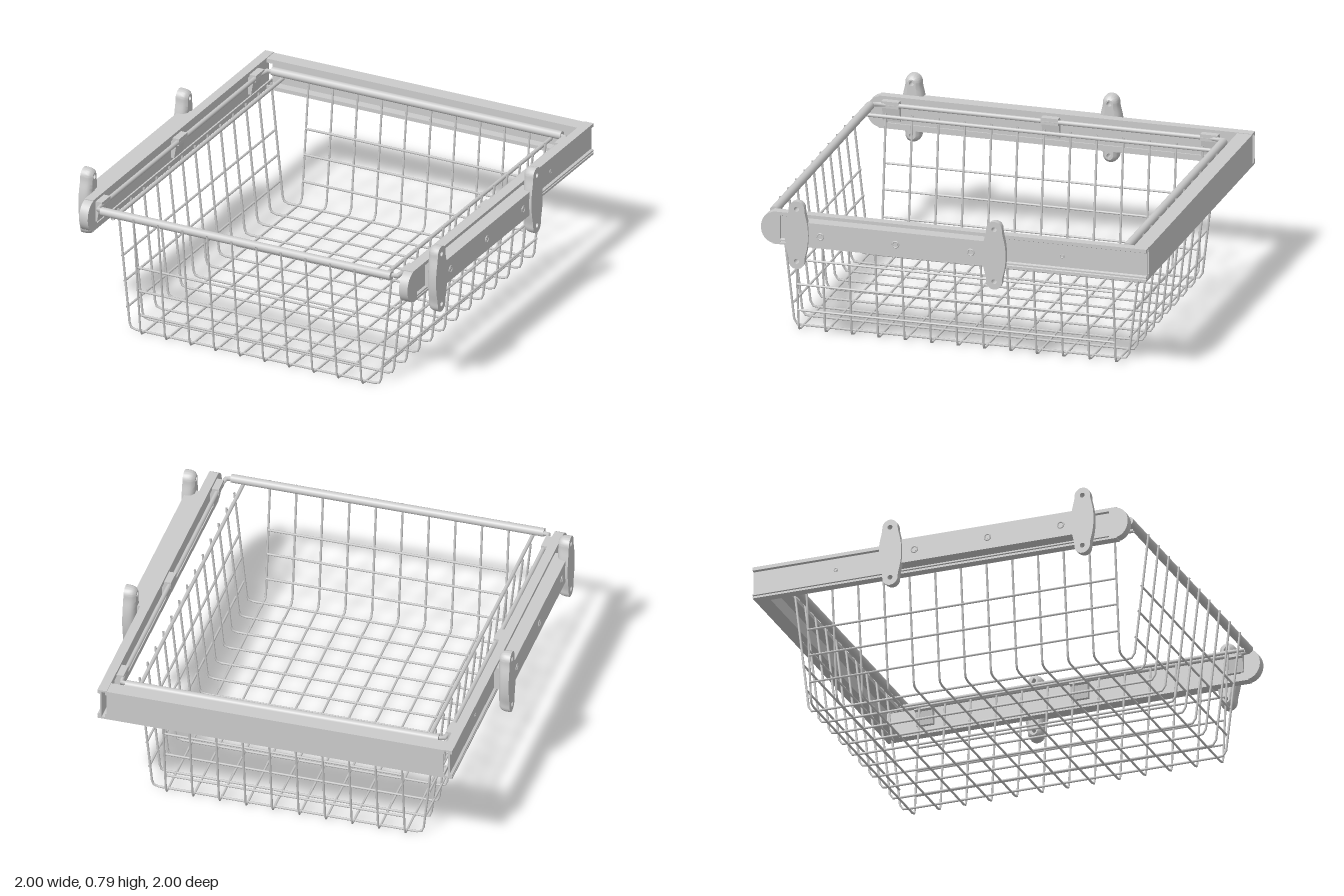
import * as THREE from 'three';
import { toCreasedNormals } from 'three/addons/utils/BufferGeometryUtils.js';

const material = new THREE.MeshStandardMaterial({ color: 0xcccccc, side: THREE.DoubleSide });
const V = (x, y, z) => new THREE.Vector3(x, y, z);

function add(parent, name, geometry) {
  const mesh = new THREE.Mesh(geometry, material);
  mesh.name = name;
  parent.add(mesh);
  return mesh;
}

// Mirrored copy across x = 0 with the winding turned back
function mirrored(geometry) {
  const g = geometry.index ? geometry.toNonIndexed() : geometry.clone();
  g.scale(-1, 1, 1);
  for (const attribute of Object.values(g.attributes)) {
    const n = attribute.itemSize;
    for (let i = 0; i < attribute.count; i += 3)
      for (let k = 0; k < n; k++) {
        const b = (i + 1) * n + k, c = (i + 2) * n + k;
        [attribute.array[b], attribute.array[c]] = [attribute.array[c], attribute.array[b]];
      }
  }
  return g;
}

function addPair(parent, name, geometry) {
  add(parent, name + 'Left', geometry);
  add(parent, name + 'Right', mirrored(geometry));
}

function box(x0, x1, y0, y1, z0, z1) {
  return new THREE.BoxGeometry(x1 - x0, y1 - y0, z1 - z0)
    .translate((x0 + x1) / 2, (y0 + y1) / 2, (z0 + z1) / 2);
}

// Wire along straight runs joined by rounded corners
function wire(points, radius, bend = 0.03, sides = 6) {
  const path = new THREE.CurvePath();
  let from = points[0];
  for (let i = 1; i < points.length - 1; i++) {
    const p = points[i];
    const a = p.clone().add(points[i - 1].clone().sub(p).setLength(bend));
    const b = p.clone().add(points[i + 1].clone().sub(p).setLength(bend));
    path.add(new THREE.LineCurve3(from, a));
    path.add(new THREE.QuadraticBezierCurve3(a, p, b));
    from = b;
  }
  path.add(new THREE.LineCurve3(from, points[points.length - 1]));
  return new THREE.TubeGeometry(path, points.length > 2 ? 100 : 1, radius, sides, false);
}

function polygon(points) {
  return new THREE.Shape(points.map(([x, y]) => new THREE.Vector2(x, y)));
}

// Wall bracket: flat outside, domed inside, one hole in each lobe
function bracketGeometry() {
  const depth = 0.06, holeY = 0.137, lobe = 0.041;
  const s = new THREE.Shape();
  s.moveTo(lobe, -holeY);
  s.bezierCurveTo(lobe, -0.1, 0.06, -0.08, 0.06, 0);
  s.bezierCurveTo(0.06, 0.08, lobe, 0.1, lobe, holeY);
  s.absarc(0, holeY, lobe, 0, Math.PI, false);
  s.bezierCurveTo(-lobe, 0.1, -0.06, 0.08, -0.06, 0);
  s.bezierCurveTo(-0.06, -0.08, -lobe, -0.1, -lobe, -holeY);
  s.absarc(0, -holeY, lobe, Math.PI, Math.PI * 2, false);
  for (const y of [-holeY, holeY])
    s.holes.push(new THREE.Path().absarc(0, y, 0.013, 0, Math.PI * 2, true));
  const g = new THREE.ExtrudeGeometry(s, { depth, steps: 6, bevelEnabled: false, curveSegments: 10 });
  const p = g.attributes.position;
  for (let i = 0; i < p.count; i++) {
    const x = p.getX(i), y = p.getY(i);
    if (Math.hypot(x, Math.abs(y) - holeY) < 0.02) continue;
    const t = 1 - Math.min(1, p.getZ(i) / (depth * 0.7));
    const f = 1 - 0.5 * (1 - Math.sqrt(1 - t * t));
    const spine = THREE.MathUtils.clamp(y, -holeY, holeY);
    p.setXY(i, x * f, spine + (y - spine) * f);
  }
  return toCreasedNormals(g, 0.6).rotateY(Math.PI / 2);
}

function buildRails(group) {
  // Channel section: shallow recess outside, open groove inside
  const section = polygon([
    [0.87, 0.535], [0.918, 0.535], [0.918, 0.546], [0.91, 0.549], [0.918, 0.552], [0.918, 0.56],
    [0.906, 0.565], [0.906, 0.682], [0.918, 0.687], [0.918, 0.705], [0.87, 0.705],
    [0.87, 0.68], [0.878, 0.68], [0.878, 0.695], [0.896, 0.695],
    [0.896, 0.547], [0.878, 0.547], [0.878, 0.565], [0.87, 0.565]]);
  addPair(group, 'sideRail',
    new THREE.ExtrudeGeometry(section, { depth: 1.94, bevelEnabled: false }).translate(0, 0, -1));

  // Rounded front end caps
  const cap = new THREE.Shape();
  cap.moveTo(-0.9, 0.538);
  cap.lineTo(-0.93, 0.538);
  cap.bezierCurveTo(-1.023, 0.545, -1.023, 0.695, -0.93, 0.702);
  cap.lineTo(-0.9, 0.702);
  const capGeometry = new THREE.ExtrudeGeometry(cap, { depth: 0.048, bevelEnabled: false, curveSegments: 16 });
  addPair(group, 'railEndCap', toCreasedNormals(capGeometry, 0.6).rotateY(Math.PI / 2).translate(0.87, 0, 0));

  // Spacer bars that carry the brackets
  addPair(group, 'spacerBar', box(0.906, 0.987, 0.56, 0.688, -0.235, 0.79));
  const bracket = bracketGeometry();
  for (const z of [0.79, -0.235])
    addPair(group, 'wallBracket', bracket.clone().translate(0.94, 0.622, z));

  // Screws
  for (const [z, x, r] of [[0.67, 0.987, 0.02], [0.28, 0.987, 0.02], [-0.11, 0.987, 0.02], [-0.56, 0.906, 0.012]]) {
    addPair(group, 'screwRim', new THREE.TorusGeometry(r * 0.8, r * 0.2, 6, 16)
      .rotateY(Math.PI / 2).translate(x, 0.622, z));
    addPair(group, 'screwHead', new THREE.CylinderGeometry(r * 0.5, r * 0.5, 0.004, 12)
      .rotateZ(Math.PI / 2).translate(x, 0.622, z));
  }

  // Clips between the rails and the basket frame
  for (const z of [-0.785, 0.042, 0.87]) {
    const clip = polygon([[0.88, 0.58], [0.862, 0.58], [0.85, 0.65], [0.834, 0.655], [0.834, 0.69], [0.88, 0.69]]);
    addPair(group, 'frameClip',
      new THREE.ExtrudeGeometry(clip, { depth: 0.09, bevelEnabled: false }).translate(0, 0, z - 0.045));
  }

  // Rear cross member, a channel open to the front
  const rear = polygon([
    [1, 0.535], [0.922, 0.535], [0.922, 0.555], [0.93, 0.555], [0.93, 0.545], [0.988, 0.545],
    [0.988, 0.692], [0.93, 0.692], [0.93, 0.68], [0.922, 0.68], [0.922, 0.702], [1, 0.702]]);
  add(group, 'rearCrossMember', new THREE.ExtrudeGeometry(rear, { depth: 1.74, bevelEnabled: false })
    .rotateY(Math.PI / 2).translate(-0.87, 0, 0));
}

function buildFrame(group) {
  const y = 0.67, zf = 0.965, zb = -0.868, x = 0.845;
  // Bent rod frame with thicker tubes at front and rear
  add(group, 'frameRod', wire([V(0, y, zf), V(x, y, zf), V(x, y, zb), V(-x, y, zb), V(-x, y, zf), V(0, y, zf)],
    0.012, 0.045, 8));
  for (const [name, z] of [['frontTube', zf], ['rearTube', zb]])
    add(group, name, new THREE.CylinderGeometry(0.022, 0.022, 1.62, 16).rotateZ(Math.PI / 2).translate(0, y, z));
  addPair(group, 'basketSideRod', wire([V(0.75, 0.642, zb), V(0.75, 0.642, zf)], 0.01, 0, 8));
}

function buildBasket(group) {
  const r = 0.006, cz = 0.05, bottom = 0.012, top = 0.675;
  const bx = 0.7, tx = 0.767, bz = 0.866, tz = 0.943;
  const xEnd = 0.618, zStart = -0.774, zEnd = 0.87;

  // Wires running from front to rear
  for (let i = 0; i < 10; i++) {
    const x = -xEnd + (i * 2 * xEnd) / 9;
    add(group, 'lengthWire', wire([V(x, top, cz + tz), V(x, bottom, cz + bz), V(x, bottom, cz - bz), V(x, top, cz - tz)], r));
  }
  // Wires running from side to side
  for (let i = 0; i < 13; i++) {
    const z = zStart + (i * (zEnd - zStart)) / 12;
    add(group, 'crossWire', wire([V(tx, 0.655, z), V(bx, bottom, z), V(-bx, bottom, z), V(-tx, 0.655, z)], r));
  }
  // Level wires on the four walls
  for (const y of [0.125, 0.265, 0.4]) {
    const t = (y - bottom) / (top - bottom);
    const x = bx + (tx - bx) * t + r, z = bz + (tz - bz) * t - r;
    addPair(group, 'sideLevelWire', wire([V(x, y, zStart), V(x, y, zEnd)], r));
    add(group, 'frontLevelWire', wire([V(-xEnd, y, cz + z), V(xEnd, y, cz + z)], r));
    add(group, 'rearLevelWire', wire([V(-xEnd, y, cz - z), V(xEnd, y, cz - z)], r));
  }
}

export function createModel() {
  const model = new THREE.Group();
  model.name = 'pullOutWireBasket';
  for (const [name, build] of [['rails', buildRails], ['basketFrame', buildFrame], ['basket', buildBasket]]) {
    const part = new THREE.Group();
    part.name = name;
    build(part);
    model.add(part);
  }
  return model;
}
